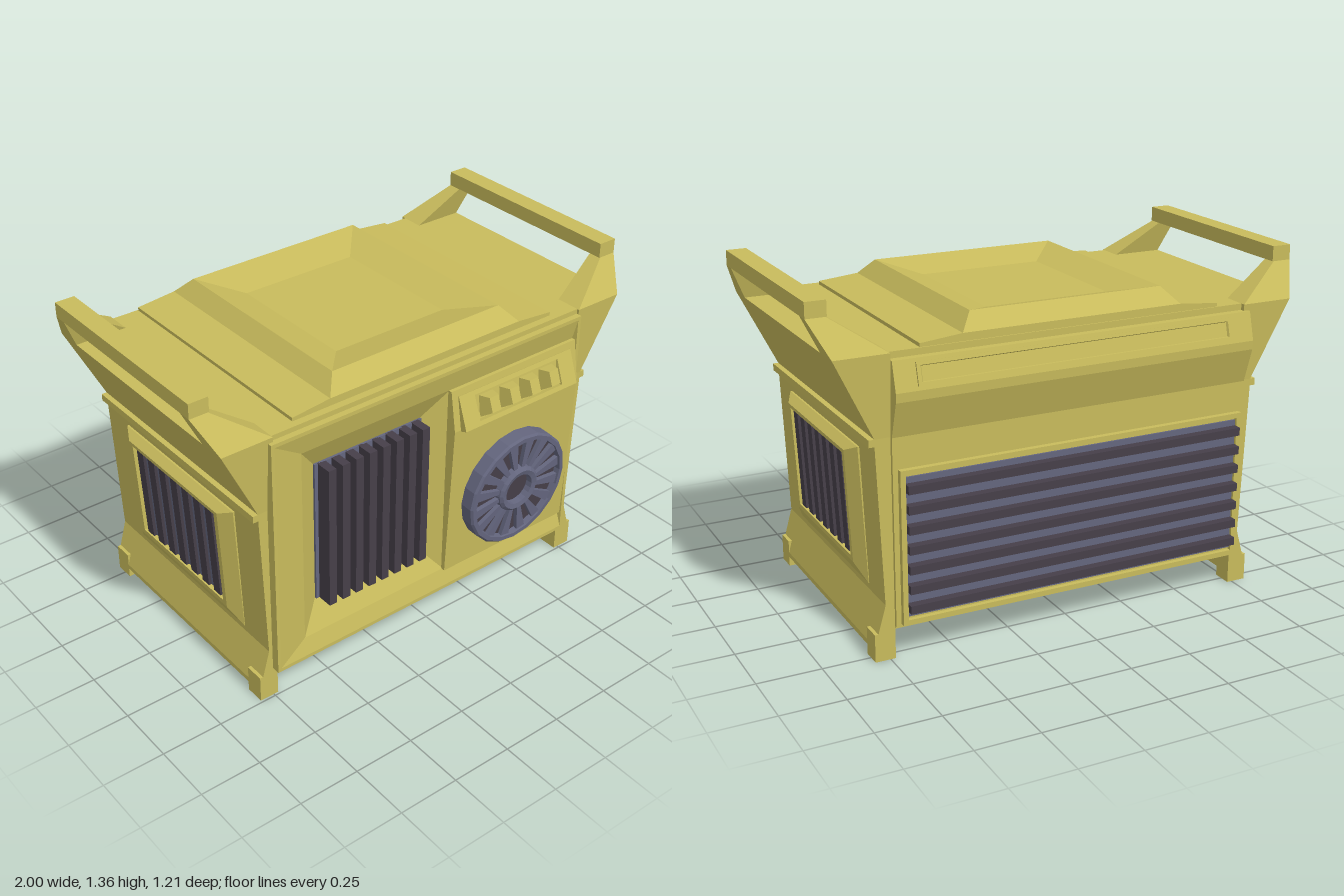
import * as THREE from 'three';

const paint = (color) => new THREE.MeshStandardMaterial({ color, flatShading: true });
const yellow = paint(0xc8bb5c), steel = paint(0x64667e), dark = paint(0x463f49);

function add(parent, name, geometry, material, x = 0, y = 0, z = 0) {
  const mesh = new THREE.Mesh(geometry, material);
  mesh.name = name;
  mesh.position.set(x, y, z);
  parent.add(mesh);
  return mesh;
}

function subgroup(parent, name, x, y, z, turn = 0, lean = 0) {
  const g = new THREE.Group();
  g.name = name;
  g.position.set(x, y, z);
  g.rotation.set(lean, turn, 0, 'YXZ');
  parent.add(g);
  return g;
}

// Box spanned by its limits
function block(parent, name, material, x0, x1, y0, y1, z0, z1) {
  return add(parent, name, new THREE.BoxGeometry(x1 - x0, y1 - y0, z1 - z0), material,
    (x0 + x1) / 2, (y0 + y1) / 2, (z0 + z1) / 2);
}

// Skin over four-cornered rings, with optional end caps
function loft(rings, capEnd = true, capStart = false) {
  const pos = [];
  const quad = (a, b, c, d) => pos.push(...a, ...b, ...c, ...a, ...c, ...d);
  for (let k = 0; k + 1 < rings.length; k++) {
    const a = rings[k], b = rings[k + 1];
    for (let i = 0; i < 4; i++) {
      const j = (i + 1) % 4;
      quad(a[i], a[j], b[j], b[i]);
    }
  }
  if (capEnd) quad(...rings[rings.length - 1]);
  if (capStart) quad(...[...rings[0]].reverse());
  const g = new THREE.BufferGeometry();
  g.setAttribute('position', new THREE.Float32BufferAttribute(pos, 3));
  g.computeVertexNormals();
  return g;
}

// Rectangular rings: facing +z, or stacked along y
const face = (x0, x1, y0, y1, z) => [[x0, y0, z], [x1, y0, z], [x1, y1, z], [x0, y1, z]];
const layer = (x0, x1, z0, z1, y) => [[x0, y, z1], [x1, y, z1], [x1, y, z0], [x0, y, z0]];
const panel = (steps, cap = true) => loft(steps.map((s) => face(...s)), cap);
const centred = (w, h, z) => [-w / 2, w / 2, -h / 2, h / 2, z];

// Side profile given as [z, y], swept along x
function sweepX(profile, x0, x1) {
  const shape = new THREE.Shape(profile.map(([z, y]) => new THREE.Vector2(-z, y)));
  return new THREE.ExtrudeGeometry(shape, { depth: x1 - x0, bevelEnabled: false })
    .rotateY(Math.PI / 2).translate(x0, 0, 0);
}

// Row of dark bars over a steel backing, centred on the parent
function grille(parent, w, h, count, vertical, bar, z0, z1) {
  block(parent, 'grilleBacking', steel, -w / 2, w / 2, -h / 2, h / 2, z0 - 0.01, z0 + 0.005);
  const span = vertical ? w : h;
  for (let i = 0; i < count; i++) {
    const c = ((i + 0.5) / count - 0.5) * span;
    if (vertical) block(parent, 'grilleBar', dark, c - bar / 2, c + bar / 2, -h / 2, h / 2, z0, z1);
    else block(parent, 'grilleBar', dark, -w / 2, w / 2, c - bar / 2, c + bar / 2, z0, z1);
  }
}

// End wall with legs, carrying handle and side vent
function createEnd() {
  const end = new THREE.Group();
  const wall = [[0.04, 0.81, 0.517], [0.06, 0.81, 0.517], [0.22, 0.765, 0.517],
    [0.83, 0.79, 0.517], [0.86, 0.79, 0.517], [1.17, 0.942, 0.537]];
  add(end, 'endWall', loft(wall.map(([y, x, z]) => layer(0.73, x, -z, z, y)), true, true), yellow);
  block(end, 'trimStrip', yellow, 0.73, 0.812, 0.832, 0.86, -0.517, 0.517);

  for (const s of [-1, 1]) {
    const zs = (a, b) => (s > 0 ? [a, b] : [-b, -a]);
    block(end, 'foot', yellow, 0.73, 0.81, 0, 0.11, ...zs(0.437, 0.517));
    add(end, 'handleArm', loft([layer(0.73, 0.942, ...zs(0.425, 0.537), 1.17),
      layer(0.925, 1, ...zs(0.39, 0.445), 1.3)]), yellow);
  }
  block(end, 'handleBar', yellow, 0.92, 1, 1.3, 1.36, -0.445, 0.445);

  const vent = subgroup(end, 'sideVent', 0.778, 0.52, 0, Math.PI / 2, 0.05);
  add(vent, 'ventFrame', panel([
    [-0.363, 0.363, -0.275, 0.265, -0.02], [-0.363, 0.363, -0.275, 0.265, 0.004],
    [-0.302, 0.302, -0.205, 0.24, 0.036], [-0.28, 0.28, -0.185, 0.225, 0.036],
    [-0.28, 0.28, -0.185, 0.225, 0.012]]), yellow);
  const slats = subgroup(vent, 'sideGrille', 0, 0.02, 0);
  grille(slats, 0.55, 0.4, 7, true, 0.044, 0.015, 0.032);
  return end;
}

function createFan(parent) {
  const fan = subgroup(parent, 'fan', 0.385, 0.52, 0.525, 0, 0.05);
  const turned = (pts) => new THREE.LatheGeometry(
    pts.map(([r, y]) => new THREE.Vector2(r, y)), 20).rotateX(Math.PI / 2);
  add(fan, 'fanRim', turned([[0.25, -0.01], [0.25, 0.06], [0.242, 0.068], [0.224, 0.068], [0.22, 0.04]]), steel);
  add(fan, 'fanBack', new THREE.CircleGeometry(0.225, 20), dark, 0, 0, 0.042);
  add(fan, 'fanHub', turned([[0.105, 0.04], [0.1, 0.065], [0.088, 0.075], [0.068, 0.07], [0.066, 0.04]]), steel);
  const outline = (z) => [[0.095, -0.009, z], [0.223, -0.021, z], [0.223, 0.021, z], [0.095, 0.009, z]];
  const blade = loft([outline(0.04), outline(0.06)]);
  for (let i = 0; i < 16; i++) {
    add(fan, 'fanBlade', blade, steel).rotation.z = (i + 0.5) * Math.PI / 8;
  }
}

export function createModel() {
  const model = new THREE.Group();
  model.name = 'generator';

  // Core and lid
  block(model, 'bodyCore', yellow, -0.73, 0.73, 0.12, 1.16, -0.545, 0.4);
  block(model, 'lid', yellow, -0.73, 0.73, 1.13, 1.17, -0.545, 0.5);
  const hatch = subgroup(model, 'topHatch', 0, 1.17, 0, 0, -Math.PI / 2);
  add(hatch, 'hatchCover', panel([
    [-0.62, 0.61, -0.47, 0.54, -0.01], [-0.62, 0.61, -0.47, 0.54, 0.014],
    [-0.455, 0.445, -0.47, 0.54, 0.03], [-0.4, 0.39, -0.41, 0.48, 0.092],
    [-0.26, 0.25, -0.25, 0.32, 0.05]]), yellow);

  // Front frame and recessed grille
  add(model, 'frontFrame', panel([
    [-0.75, 0.73, 0.13, 1.15, 0.4], [-0.75, 0.73, 0.13, 1.15, 0.525],
    [-0.735, 0.715, 0.145, 1.135, 0.525], [-0.61, 0.71, 0.215, 1.05, 0.505]], false), yellow);
  block(model, 'frontFrameBase', yellow, -0.74, 0.72, 0.12, 0.14, 0.39, 0.5);
  add(model, 'grilleRecess', panel([
    [-0.61, 0.075, 0.215, 1.05, 0.505], [-0.52, -0.02, 0.33, 0.94, 0.45]]), yellow);
  const front = subgroup(model, 'frontGrille', -0.27, 0.635, 0);
  grille(front, 0.5, 0.61, 8, true, 0.034, 0.455, 0.525);

  // Sloping control panel with four switches
  add(model, 'controlPanel', sweepX([[0.42, 0.215], [0.52, 0.215], [0.548, 0.885], [0.52, 1.05], [0.42, 1.05]],
    0.07, 0.71), yellow);
  const tray = subgroup(model, 'switchTray', 0.39, 0.952, 0.54, 0, -0.36);
  add(tray, 'trayFrame', panel([centred(0.58, 0.142, -0.04), centred(0.58, 0.142, 0.014),
    centred(0.43, 0.105, 0.014), centred(0.42, 0.1, -0.008)]), yellow);
  for (let i = 0; i < 4; i++) {
    add(tray, 'switch', panel([centred(0.075, 0.09, -0.008), centred(0.045, 0.06, 0.05)]),
      yellow, -0.155 + i * 0.103, 0, 0);
  }
  createFan(model);

  // Back panel with overhanging hood
  add(model, 'backPanel', sweepX([[-0.53, 0.13], [-0.558, 0.13], [-0.558, 0.86], [-0.603, 1.0],
    [-0.605, 1.035], [-0.575, 1.145], [-0.53, 1.145]], -0.75, 0.73), yellow);
  const pocket = subgroup(model, 'hoodPocket', -0.005, 1.09, -0.588, Math.PI, -0.27);
  add(pocket, 'pocketFrame', panel([centred(1.3, 0.085, -0.01), centred(1.3, 0.085, 0.01),
    centred(1.27, 0.06, 0.01), centred(1.26, 0.055, 0.002)]), yellow);
  const back = subgroup(model, 'backVent', -0.01, 0.44, -0.55, Math.PI);
  add(back, 'backVentFrame', panel([centred(1.44, 0.6, 0), centred(1.44, 0.6, 0.03),
    centred(1.4, 0.56, 0.03), centred(1.4, 0.56, 0.012)]), yellow);
  grille(back, 1.4, 0.54, 7, false, 0.032, 0.015, 0.054);

  // Matching ends, turned about the body's centre
  for (const [name, turn] of [['leftEnd', 0], ['rightEnd', Math.PI]]) {
    const end = createEnd();
    end.name = name;
    end.position.z = -0.027;
    end.rotation.y = turn;
    model.add(end);
  }
  return model;
}
